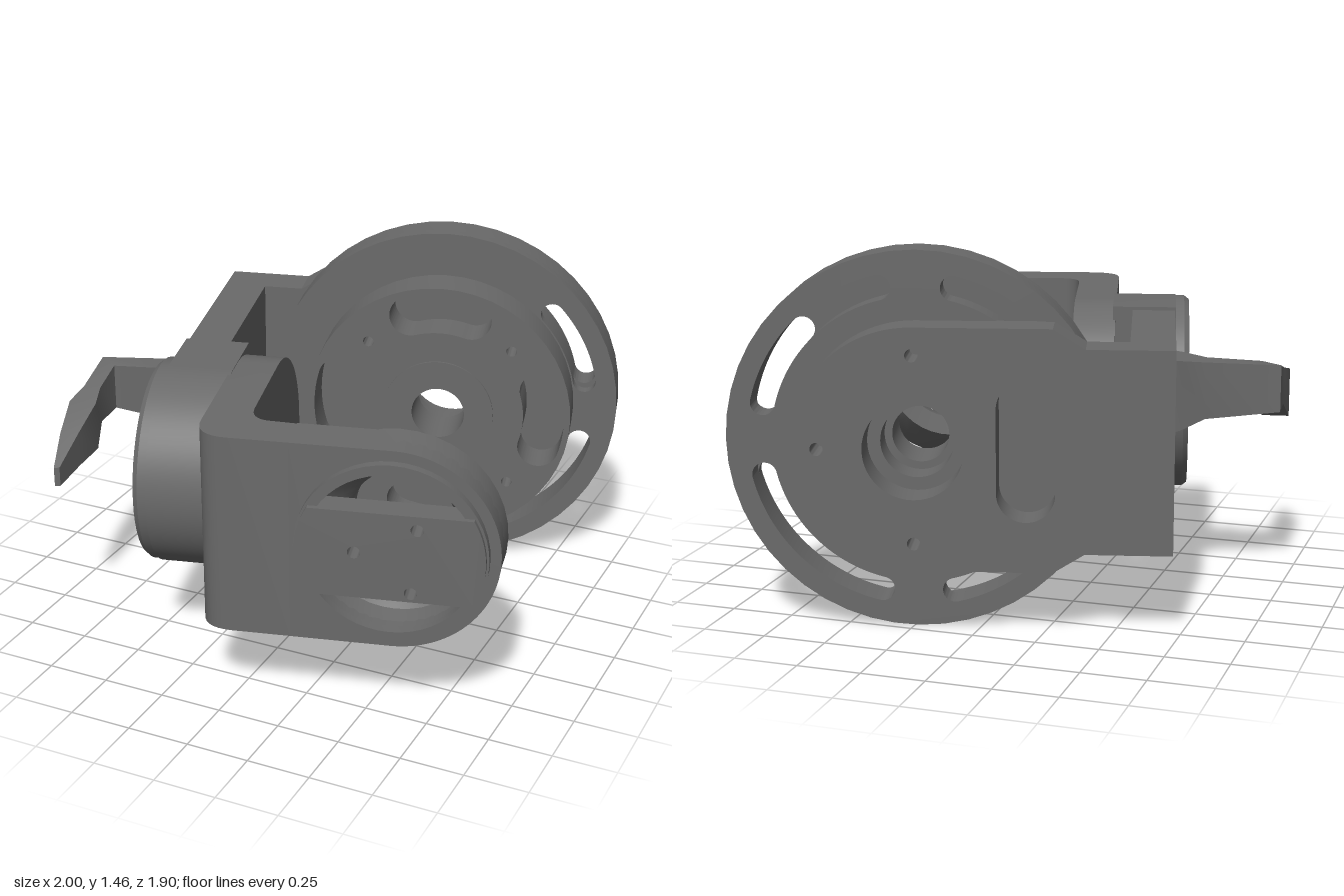
import * as THREE from 'three';
import { toCreasedNormals } from 'three/addons/utils/BufferGeometryUtils.js';

const mat = new THREE.MeshStandardMaterial({ color: 0x6a6a6a, side: THREE.DoubleSide });
const TAU = Math.PI * 2;

function mesh(name, geo, parent) {
  const m = new THREE.Mesh(toCreasedNormals(geo, 0.5), mat);
  m.name = name;
  parent.add(m);
  return m;
}

// Extrudes a shape between two depths along local z
function slab(name, shape, z0, z1, parent) {
  const geo = new THREE.ExtrudeGeometry(shape, { depth: z1 - z0, bevelEnabled: false, curveSegments: 24 });
  geo.translate(0, 0, z0);
  return mesh(name, geo, parent);
}

// Same, but the shape lies in the side plane (shape x = -z) and is extruded along x
function sideSlab(name, shape, x0, x1, parent) {
  const geo = new THREE.ExtrudeGeometry(shape, { depth: x1 - x0, bevelEnabled: false, curveSegments: 24 });
  geo.translate(0, 0, x0).rotateY(Math.PI / 2);
  return mesh(name, geo, parent);
}

function disc(x, y, r, Type = THREE.Path) {
  return new Type().absarc(x, y, r, 0, TAU, false);
}

function ringShape(r, hole) {
  const s = disc(0, 0, r, THREE.Shape);
  s.holes.push(disc(0, 0, hole));
  return s;
}

// Curved window with rounded ends
function arcSlot(r0, r1, mid, half) {
  const p = new THREE.Path(), rm = (r0 + r1) / 2, w = (r1 - r0) / 2;
  const a = mid - half, b = mid + half;
  p.absarc(0, 0, r1, a, b, false);
  p.absarc(rm * Math.cos(b), rm * Math.sin(b), w, b, b + Math.PI, false);
  p.absarc(0, 0, r0, b, a, true);
  p.absarc(rm * Math.cos(a), rm * Math.sin(a), w, a + Math.PI, a + TAU, false);
  return p;
}

// Plate with one square end at x0 and one round end centred on cx
function tongue(x0, cx, r) {
  const s = new THREE.Shape();
  const d = Math.sign(cx - x0);
  s.moveTo(x0, -r * d);
  s.lineTo(cx, -r * d);
  s.absarc(cx, 0, r, -d * Math.PI / 2, -d * Math.PI / 2 + Math.PI, false);
  s.lineTo(x0, r * d);
  s.closePath();
  return s;
}

// Loft of rectangular sections: [x, y, z, normalX, normalZ, halfHeight]
function ribbon(sections) {
  const pos = [], idx = [];
  sections.forEach(([x, y, z, nx, nz, h], i) => {
    [[1, 1], [1, -1], [-1, -1], [-1, 1]].forEach(([n, v]) => pos.push(x + n * nx, y + v * h, z + n * nz));
    if (i) for (let k = 0; k < 4; k++) {
      const a = (i - 1) * 4 + k, b = (i - 1) * 4 + (k + 1) % 4;
      idx.push(a, b, b + 4, a, b + 4, a + 4);
    }
  });
  const e = pos.length / 3 - 4;
  idx.push(0, 2, 1, 0, 3, 2, e, e + 1, e + 2, e, e + 2, e + 3);
  const g = new THREE.BufferGeometry();
  g.setAttribute('position', new THREE.Float32BufferAttribute(pos, 3));
  g.setIndex(idx);
  return g.toNonIndexed();
}

function createRearBracket() {
  const g = new THREE.Group();
  g.name = 'rearBracket';
  // Back plate: narrow foot flaring to a round end
  const p = new THREE.Shape();
  p.moveTo(-0.57, -0.39);
  p.lineTo(-0.24, -0.39);
  p.lineTo(-0.12, -0.465);
  p.lineTo(0.4, -0.465);
  p.absarc(0.4, 0, 0.465, -Math.PI / 2, Math.PI / 2, false);
  p.lineTo(-0.12, 0.465);
  p.lineTo(-0.24, 0.39);
  p.lineTo(-0.57, 0.39);
  p.closePath();
  const slot = new THREE.Path();
  slot.absarc(-0.02, 0.16, 0.11, 0, Math.PI, false);
  slot.absarc(-0.02, -0.16, 0.11, Math.PI, TAU, false);
  slot.closePath();
  p.holes.push(disc(0.4, 0, 0.19), slot);
  [[0.4, 0.36], [0.4, -0.36], [0.76, 0], [-0.47, 0.25], [-0.47, -0.25]]
    .forEach(([x, y]) => p.holes.push(disc(x, y, 0.025)));
  slab('backPlate', p, -0.765, -0.61, g);

  // Upright web joining the back plate to the housing
  const web = new THREE.BoxGeometry(0.17, 0.78, 0.84);
  web.translate(-0.485, 0, -0.345);
  mesh('web', web, g);

  // Large rim wheel and pocketed hub
  const wheel = new THREE.Group();
  wheel.name = 'wheel';
  wheel.position.x = 0.4;
  g.add(wheel);
  const rimBack = ringShape(0.73, 0.14);
  for (let i = 0; i < 4; i++) rimBack.holes.push(arcSlot(0.555, 0.65, Math.PI / 4 + i * Math.PI / 2, 0.55));
  slab('rimBack', rimBack, -0.62, -0.51, wheel);
  // The front face closes the upper pockets
  const rimFront = ringShape(0.73, 0.14);
  [[0.47, 0.27], [-0.8, 0.54], [-2.05, 0.36]]
    .forEach(([mid, half]) => rimFront.holes.push(arcSlot(0.555, 0.65, mid, half)));
  slab('rimFront', rimFront, -0.51, -0.465, wheel);
  const hub = ringShape(0.55, 0.13);
  for (let i = 0; i < 4; i++) {
    hub.holes.push(arcSlot(0.355, 0.525, i * Math.PI / 2, 0.29));
    const a = Math.PI / 4 + i * Math.PI / 2;
    hub.holes.push(disc(0.42 * Math.cos(a), 0.42 * Math.sin(a), 0.022));
  }
  slab('hub', hub, -0.47, -0.305, wheel);
  slab('boreCollar', ringShape(0.23, 0.11), -0.5, -0.297, wheel);
  return g;
}

function createFrontBracket() {
  const g = new THREE.Group();
  g.name = 'frontBracket';
  // Round-ended base plate with the pivot hole
  const base = tongue(-0.52, -0.245, 0.4);
  base.holes.push(disc(-0.3, 0, 0.15));
  sideSlab('basePlate', base, -0.33, -0.16, g);

  // Bent corner
  const c = new THREE.Shape();
  c.moveTo(-0.33, -0.5);
  c.lineTo(-0.33, -0.79);
  c.quadraticCurveTo(-0.33, -0.92, -0.2, -0.92);
  c.lineTo(0.02, -0.92);
  c.lineTo(0.02, -0.755);
  c.lineTo(-0.09, -0.75);
  c.quadraticCurveTo(-0.16, -0.74, -0.16, -0.65);
  c.lineTo(-0.16, -0.5);
  c.closePath();
  const corner = new THREE.ExtrudeGeometry(c, { depth: 0.8, bevelEnabled: false, curveSegments: 8 });
  corner.translate(0, 0, -0.4).rotateX(-Math.PI / 2);
  mesh('bentCorner', corner, g);

  // Arm with the round recess
  const arm = tongue(0.02, 0.4, 0.4);
  arm.holes.push(disc(0.4, 0, 0.32));
  slab('arm', arm, 0.75, 0.92, g);

  // Hollow tapering cup behind the arm
  const profile = [[0.325, 0.91], [0.31, 0.8], [0.24, 0.72], [0.2, 0.66], [0.19, 0.575], [0.27, 0.565],
    [0.345, 0.645], [0.405, 0.74], [0.4, 0.85]].map(([r, z]) => new THREE.Vector2(r, z));
  const cup = new THREE.LatheGeometry(profile, 40);
  cup.rotateX(Math.PI / 2).translate(0.4, 0, 0);
  mesh('cup', cup, g);

  // Raised rim and cross plate over the recess
  slab('recessRim', ringShape(0.36, 0.32), 0.91, 0.955, g).position.x = 0.4;
  const cross = new THREE.Shape();
  const end = Math.asin(0.175 / 0.35);
  cross.absarc(0, 0, 0.35, -end, end, false);
  cross.absarc(0, 0, 0.35, Math.PI - end, Math.PI + end, false);
  cross.closePath();
  [[-0.13, 0.01], [0.1, 0.12], [0.08, -0.14]].forEach(([x, y]) => cross.holes.push(disc(x, y, 0.024)));
  slab('crossPlate', cross, 0.87, 0.975, g).position.x = 0.4;
  return g;
}

// Pivot housing between the brackets: D-shaped block with a stepped round boss
function createHousing() {
  const g = new THREE.Group();
  g.name = 'pivotHousing';
  const block = tongue(-0.05, -0.325, 0.403);
  block.holes.push(disc(-0.31, 0, 0.15));
  sideSlab('housingBlock', block, -0.575, -0.32, g);
  const boss = new THREE.LatheGeometry([[0.15, -0.4], [0.15, -0.58], [0.2, -0.6], [0.2, -0.63], [0.385, -0.63],
    [0.4, -0.61], [0.4, -0.4]].map(([r, x]) => new THREE.Vector2(r, x)), 48);
  boss.rotateZ(-Math.PI / 2).translate(0, 0, 0.32);
  mesh('housingBoss', boss, g);
  return g;
}

export function createModel() {
  const model = new THREE.Group();
  model.name = 'bracketAssembly';
  const body = new THREE.Group();
  body.name = 'body';
  body.position.y = 0.735;
  body.rotation.y = 0.25;
  model.add(body);
  body.add(createRearBracket(), createFrontBracket(), createHousing());

  // Bent cable strap leaving the housing
  mesh('cableStrap', ribbon([
    [-0.5, 0.82, 0.02, -0.03, -0.12, 0.16],
    [-0.61, 0.83, 0.04, -0.02, -0.09, 0.14],
    [-0.7, 0.84, 0.075, -0.01, -0.05, 0.115],
    [-0.95, 0.85, 0.14, -0.045, -0.03, 0.095],
    [-0.935, 0.82, 0.3, -0.035, 0.005, 0.075],
    [-0.92, 0.77, 0.4, -0.055, 0.01, 0.1],
    [-0.895, 0.73, 0.55, -0.035, 0.01, 0.07],
    [-0.865, 0.68, 0.7, -0.01, 0.005, 0.04],
  ]), model);
  return model;
}
